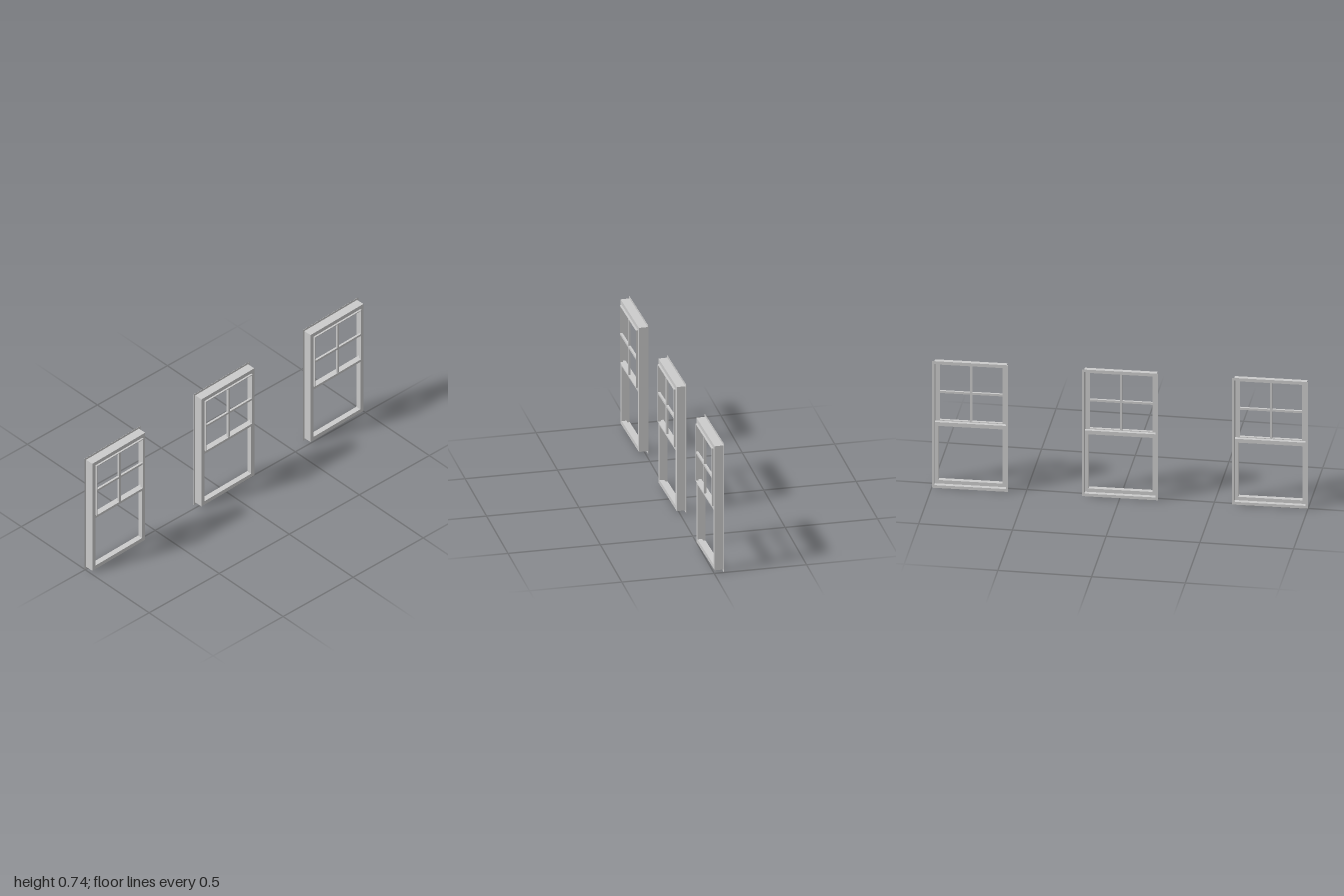
import * as THREE from 'three';

const material = new THREE.MeshStandardMaterial({ color: 0xcccccc, flatShading: true });

// Rectangular ring [half width, bottom, top] with a hole, spanning z0..z1
function ring(name, outer, hole, z0, z1) {
  const corners = ([w, y0, y1]) => [[-w, y0], [w, y0], [w, y1], [-w, y1]].map(([x, y]) => new THREE.Vector2(x, y));
  const shape = new THREE.Shape(corners(outer));
  shape.holes.push(new THREE.Path(corners(hole)));
  const geometry = new THREE.ExtrudeGeometry(shape, { depth: z1 - z0, bevelEnabled: false });
  geometry.translate(0, 0, z0);
  const mesh = new THREE.Mesh(geometry, material);
  mesh.name = name;
  return mesh;
}

function bar(name, w, h, y, z0, z1) {
  const mesh = new THREE.Mesh(new THREE.BoxGeometry(w, h, z1 - z0), material);
  mesh.position.set(0, y, (z0 + z1) / 2);
  mesh.name = name;
  return mesh;
}

function createWindow() {
  const win = new THREE.Group();
  win.name = 'doubleHungWindow';
  const front = 0.02, back = -0.029;
  const body = [0.193, 0.013, 0.728];

  // Thin nailing flange around the back edge
  win.add(ring('nailingFlange', [0.203, 0, 0.74], [0.19, 0.016, 0.725], back, back + 0.001));
  // Hollow casing: jambs, head and sill
  win.add(ring('casing', body, [0.19, 0.016, 0.725], back, front));
  // Front face of the upper half
  win.add(ring('upperFrame', [0.19, 0.374, 0.725], [0.17, 0.3745, 0.705], front - 0.006, front));
  // Deeper lower sash, whose top is the meeting rail
  win.add(ring('lowerSash', [0.19, 0.016, 0.374], [0.17, 0.036, 0.352], front - 0.026, front));
  // Upper sash rim standing proud, with its crossing bars
  win.add(ring('upperSash', [0.1705, 0.374, 0.7055], [0.166, 0.3775, 0.701], front - 0.006, front + 0.01));
  win.add(bar('verticalMuntin', 0.012, 0.326, 0.54, front - 0.003, front + 0.009));
  win.add(bar('horizontalMuntin', 0.334, 0.012, 0.54, front - 0.003, front + 0.009));
  return win;
}

export function createModel() {
  const model = new THREE.Group();
  model.name = 'windowRow';
  // Three windows along one slightly turned line
  for (const i of [-1, 0, 1]) {
    const win = createWindow();
    win.position.set(i * 0.797, 0, -i * 0.02);
    win.rotation.y = 0.025;
    model.add(win);
  }
  return model;
}
